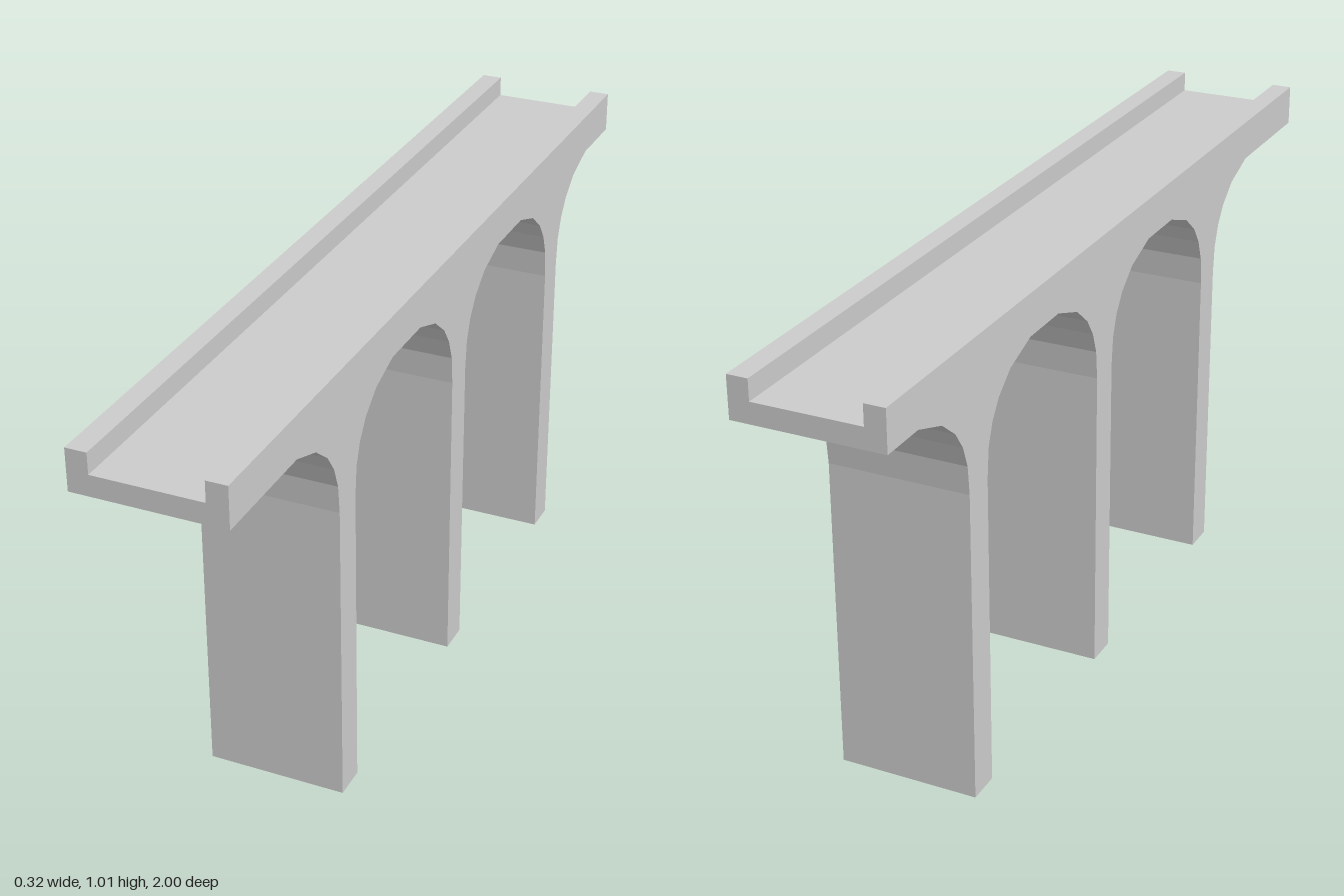
import * as THREE from 'three';

const material = new THREE.MeshStandardMaterial({ color: 0xcccccc, flatShading: true, side: THREE.DoubleSide });

const DECK_BOTTOM = 0.918;

function shapeFrom(points) {
  return new THREE.Shape(points.map(([x, y]) => new THREE.Vector2(x, y)));
}

function extrudeCentred(points, depth) {
  const geometry = new THREE.ExtrudeGeometry(shapeFrom(points), { depth, bevelEnabled: false });
  return geometry.translate(0, 0, -depth / 2);
}

// Drops the level faces at the given heights, leaving the shell open there
function openAt(geometry, heights) {
  const p = geometry.getAttribute('position');
  const kept = [];
  for (let i = 0; i < p.count; i += 3) {
    const level = heights.some((h) => [0, 1, 2].every((k) => Math.abs(p.getY(i + k) - h) < 1e-5));
    if (level) continue;
    for (let k = 0; k < 3; k++) kept.push(p.getX(i + k), p.getY(i + k), p.getZ(i + k));
  }
  const open = new THREE.BufferGeometry();
  open.setAttribute('position', new THREE.Float32BufferAttribute(kept, 3));
  open.computeVertexNormals();
  return open;
}

// Trough-shaped deck with a parapet along each side
function createDeck() {
  const half = [[0.161, DECK_BOTTOM], [0.161, 1.008], [0.116, 1.008], [0.116, 0.963]];
  const mirrored = half.map(([x, y]) => [-x, y]).reverse();
  const deck = new THREE.Mesh(extrudeCentred([...half, ...mirrored], 2), material);
  deck.name = 'deck';
  return deck;
}

// Thin wall pier flaring into half an arch on both sides, open underneath
function createPierGeometry() {
  const half = [
    [0.037, 0], [0.037, 0.69], [0.043, 0.753], [0.06, 0.8],
    [0.088, 0.84], [0.138, 0.88], [0.247, DECK_BOTTOM],
  ];
  const mirrored = half.map(([z, y]) => [-z, y]).reverse();
  const solid = extrudeCentred([...half, ...mirrored], 0.307);
  solid.rotateY(-Math.PI / 2);
  const flat = solid.index ? solid.toNonIndexed() : solid;
  return openAt(flat, [0, DECK_BOTTOM]);
}

export function createModel() {
  const model = new THREE.Group();
  model.name = 'viaduct';
  model.add(createDeck());

  const pierGeometry = createPierGeometry();
  ['frontPier', 'middlePier', 'backPier'].forEach((name, i) => {
    const pier = new THREE.Mesh(pierGeometry, material);
    pier.name = name;
    pier.position.z = 0.502 - i * 0.577;
    model.add(pier);
  });
  return model;
}
